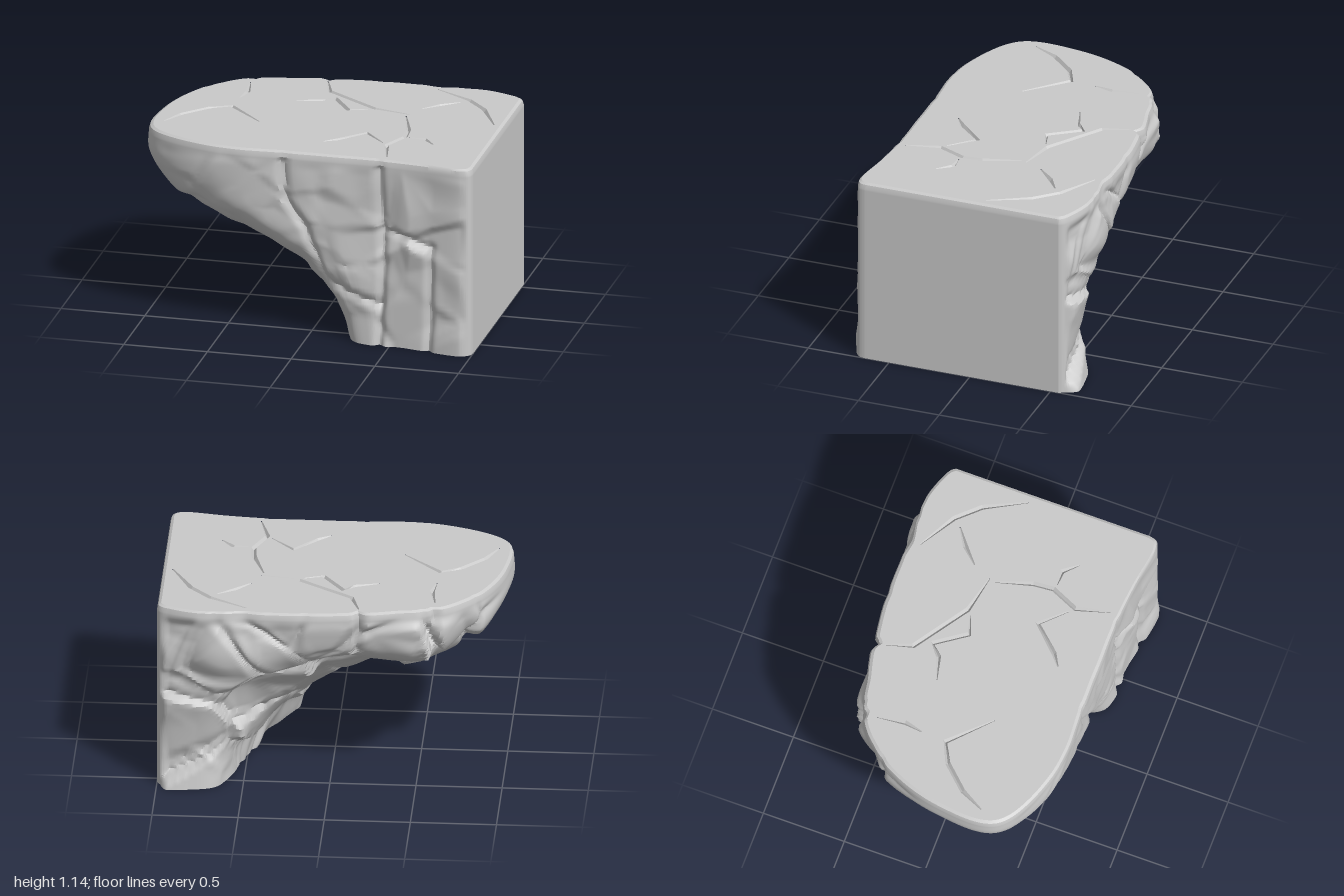
import * as THREE from 'three';
import { toCreasedNormals } from 'three/addons/utils/BufferGeometryUtils.js';

const TOP = 1.145, STEPS = 20, ROWS = 9;

// small seeded random
let seed = 11;
const rand = () => {
  seed = (seed * 16807) % 2147483647;
  return seed / 2147483647;
};
const smooth = THREE.MathUtils.smoothstep;

// x, z outlines of the wide top and the narrow foot, from the back round the tip to the front
const rim = [[0.78, -0.66], [0.5, -0.65], [0.2, -0.66], [-0.2, -0.62], [-0.67, -0.5], [-0.89, -0.25],
  [-1, 0.08], [-0.98, 0.44], [-0.6, 0.64], [-0.1, 0.66], [0.44, 0.66]];
const foot = [[0.82, -0.6], [0.66, -0.57], [0.55, -0.4], [0.5, -0.2], [0.46, 0], [0.4, 0.2],
  [0.32, 0.37], [0.25, 0.53], [0.29, 0.62], [0.38, 0.65], [0.46, 0.65]];
const backCorner = [[1, -0.48], [1, -0.55], [0.965, -0.59]];
const frontCorner = [[0.7, 0.68], [0.94, 0.71], [0.985, 0.695], [1, 0.65], [1, 0.58]];

// height, and how far the tip and the back have drawn in towards the foot
const profile = [[0, 1, 1], [0.22, 0.92, 0.92], [0.45, 0.75, 0.73], [0.62, 0.46, 0.56],
  [0.76, 0.18, 0.3], [0.88, 0.055, 0.05], [1, 0, 0], [1.11, 0, 0]];
function outline([y, tip, back]) {
  const middle = rim.map(([x, z], i) => {
    const t = THREE.MathUtils.lerp(back, tip, smooth(i, 3, 6));
    return [x + (foot[i][0] - x) * t, z + (foot[i][1] - z) * t];
  });
  const pts = [...backCorner, ...middle, ...frontCorner].map(([x, z]) => new THREE.Vector3(x, y, z));
  return new THREE.CatmullRomCurve3(pts).getPoints((pts.length - 1) * STEPS);
}

// chipped cells: each has a centre and a tilted plane that fades out at the cell's border
const cells = (n, tilt, zMax) => Array.from({ length: n }, () => ({
  c: new THREE.Vector3(rand() * 2 - 1, rand() * 1.1, -0.72 + rand() * (zMax + 0.72)),
  d: new THREE.Vector3(rand() - 0.5, rand() - 0.5, rand() - 0.5).normalize().multiplyScalar(tilt)
}));
const slabs = cells(60, 0.2, 0.35), chips = cells(260, 0.12, 0.72);
function cellAt(list, p, border) {
  let f1 = 9, f2 = 9, best = list[0];
  for (const s of list) {
    const d = Math.hypot(p.x - s.c.x, (p.y - s.c.y) * 1.4, p.z - s.c.z);
    if (d < f1) { f2 = f1; f1 = d; best = s; } else if (d < f2) f2 = d;
  }
  const edge = f2 - f1;
  return { edge, offset: p.clone().sub(best.c).dot(best.d) * Math.min(1, edge / border) };
}

// grooves in the walls, as x, y paths
const frontGrooves = [
  [[0.44, 1.08], [0.46, 0.5], [0.44, 0]],
  [[-0.14, 1.08], [-0.12, 0.85], [0, 0.68], [0.1, 0.35], [0.44, 0.25]],
  [[0.46, 0.72], [0.75, 0.63], [0.74, 0]]
];
const backGrooves = [[[-0.62, 1.2], [-0.6, 0.85]], [[-0.18, 1.2], [-0.16, 0.85]]];
function pathDistance(path, x, y) {
  let best = 9;
  for (let i = 0; i + 1 < path.length; i++) {
    const [ax, ay] = path[i], bx = path[i + 1][0] - ax, by = path[i + 1][1] - ay;
    const t = THREE.MathUtils.clamp(((x - ax) * bx + (y - ay) * by) / (bx * bx + by * by), 0, 1);
    best = Math.min(best, Math.hypot(x - ax - bx * t, y - ay - by * t));
  }
  return best;
}

// height of the carving at a point of the wall
const bell = d => Math.exp(-d * d);
function relief(p) {
  const back = 1 - smooth(p.z, -0.15, 0.15);
  const ends = (1 - smooth(p.x, 0.93, 0.985)) * smooth(p.x, -1.02, -0.8);
  const body = ends * (1 - smooth(p.y, 1.03, 1.1) * 0.8);
  const slab = cellAt(slabs, p, 0.08);
  const bulge = 0.05 * bell((p.x - 0.64) / 0.18) * bell((p.y - 0.84) / 0.22);
  let h = body * cellAt(chips, p, 0.08).offset;
  h += body * back * (slab.offset + bulge - 0.025 * bell(slab.edge / 0.03));
  const grooves = p.z > 0.4 ? frontGrooves : p.z < -0.2 ? backGrooves : [];
  for (const g of grooves) h -= 0.025 * bell(pathDistance(g, p.x, p.y) / 0.024);
  return h;
}

function skin(rows) {
  const n = rows[0].length, index = [];
  for (let j = 0; j + 1 < rows.length; j++) {
    for (let i = 0; i < n; i++) {
      const a = j * n + i, b = j * n + (i + 1) % n;
      index.push(a, b, b + n, a, b + n, a + n);
    }
  }
  const geo = new THREE.BufferGeometry().setFromPoints(rows.flat());
  geo.setIndex(index);
  geo.computeVertexNormals();
  return geo;
}

// rows of the wall, carved along the normals, then a rounded top edge
function wallRows() {
  const outlines = profile.map(outline);
  const columns = outlines[0].map((_, i) =>
    new THREE.CatmullRomCurve3(outlines.map(o => o[i])).getPoints((profile.length - 1) * ROWS));
  const rows = columns[0].map((_, j) => columns.map(c => c[j]));
  const normals = skin(rows).attributes.normal, dir = new THREE.Vector3();
  const carved = rows.map((row, j) => row.map((p, i) => {
    dir.fromBufferAttribute(normals, j * row.length + i);
    if (j === 0 || j === rows.length - 1) dir.y = 0;
    const q = p.clone().addScaledVector(dir, relief(p));
    q.x = Math.min(q.x, 1);
    q.y = Math.max(q.y, 0);
    return q;
  }));
  const edge = carved[carved.length - 1];
  for (const [y, inset] of [[1.135, 0.008], [TOP, 0.026]]) {
    carved.push(edge.map(p => {
      const s = 1 - inset / Math.hypot(p.x, p.z);
      return new THREE.Vector3(p.x * s, y, p.z * s);
    }));
  }
  return carved;
}

// cracks in the top, as x, z paths
const topCracks = [
  [[-0.93, 0.32], [-0.86, 0.18], [-0.73, 0.04], [-0.61, -0.02], [-0.39, 0.2]],
  [[-0.605, -0.44], [-0.58, -0.28], [-0.6, -0.17]],
  [[-0.17, -0.555], [-0.12, -0.4], [0.2, -0.18], [0.42, -0.13]],
  [[-0.27, -0.2], [-0.13, -0.24], [-0.065, -0.3], [0.06, -0.12], [0.17, -0.155]],
  [[0.41, -0.1], [0.48, 0.12], [0.49, 0.24], [0.42, 0.4], [0.47, 0.6]],
  [[0.05, 0.43], [0.12, 0.38], [0.26, 0.23], [0.39, 0.37]],
  [[0.52, 0.25], [0.61, 0.25], [0.68, 0.33]],
  [[0.48, -0.58], [0.7, -0.45], [0.82, -0.32], [0.94, -0.08]],
  [[0.47, -0.24], [0.56, -0.33], [0.66, -0.4]]
];
function crackSides(path) {
  const left = [], right = [], last = path.length - 1;
  path.forEach(([x, z], i) => {
    const a = path[Math.max(i - 1, 0)], b = path[Math.min(i + 1, last)];
    const dx = b[0] - a[0], dz = b[1] - a[1];
    const w = (i === 0 || i === last ? 0.004 : 0.015) / Math.hypot(dx, dz);
    left.push([x - dz * w, z + dx * w]);
    right.push([x + dz * w, z - dx * w]);
  });
  return { left, right };
}
function trench(path, { left, right }) {
  const pos = [], last = path.length - 1;
  const up = ([x, z]) => [x, TOP, z];
  const low = i => [path[i][0], TOP - (i === 0 || i === last ? 0.006 : 0.02), path[i][1]];
  for (let i = 0; i < last; i++) {
    const L0 = up(left[i]), L1 = up(left[i + 1]), R0 = up(right[i]), R1 = up(right[i + 1]);
    const C0 = low(i), C1 = low(i + 1);
    pos.push(L0, L1, C1, L0, C1, C0, R0, C0, C1, R0, C1, R1);
  }
  const geo = new THREE.BufferGeometry();
  geo.setAttribute('position', new THREE.Float32BufferAttribute(pos.flat(), 3));
  geo.computeVertexNormals();
  return geo;
}

export function createModel() {
  const group = new THREE.Group();
  const stone = new THREE.MeshStandardMaterial({ color: 0xcacaca });
  stone.name = 'light grey stone';
  const add = (geo, name) => {
    const mesh = new THREE.Mesh(geo, stone);
    mesh.name = name;
    group.add(mesh);
  };

  const rows = wallRows();
  add(toCreasedNormals(skin(rows), 0.6), 'rockWall');

  // flat top with the cracks cut out
  const shape = new THREE.Shape(rows[rows.length - 1].map(p => new THREE.Vector2(p.x, -p.z)));
  topCracks.forEach((path, i) => {
    const sides = crackSides(path);
    const loop = [...sides.left, ...sides.right.slice().reverse()];
    shape.holes.push(new THREE.Path(loop.map(([x, z]) => new THREE.Vector2(x, -z))));
    add(trench(path, sides), 'topCrack' + (i + 1));
  });
  add(new THREE.ShapeGeometry(shape).rotateX(-Math.PI / 2).translate(0, TOP, 0), 'topSurface');

  // flat underside of the foot
  const base = new THREE.Shape(rows[0].map(p => new THREE.Vector2(p.x, p.z)));
  add(new THREE.ShapeGeometry(base).rotateX(Math.PI / 2), 'footBase');
  return group;
}
